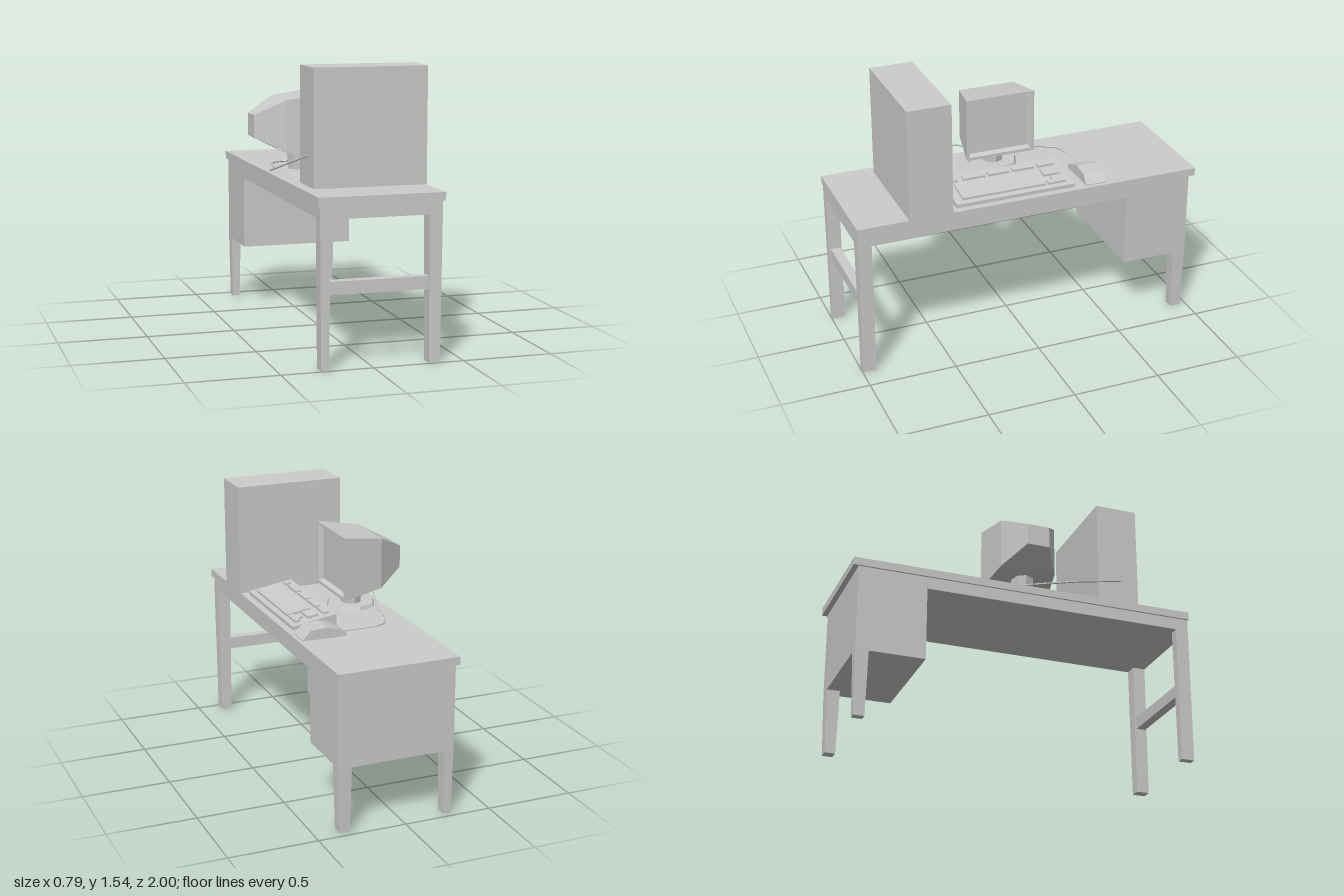
import * as THREE from 'three';

const material = new THREE.MeshStandardMaterial({ color: 0xcccccc, flatShading: true });

function add(parent, name, geometry) {
  const mesh = new THREE.Mesh(geometry, material);
  mesh.name = name;
  parent.add(mesh);
  return mesh;
}

// Box given by its limits on each axis
function box(x0, x1, y0, y1, z0, z1) {
  return new THREE.BoxGeometry(x1 - x0, y1 - y0, z1 - z0)
    .translate((x0 + x1) / 2, (y0 + y1) / 2, (z0 + z1) / 2);
}

// Side profile in x and y, extruded between two z values
function profile(points, z0, z1) {
  const shape = new THREE.Shape(points.map(([x, y]) => new THREE.Vector2(x, y)));
  return new THREE.ExtrudeGeometry(shape, { depth: z1 - z0, bevelEnabled: false }).translate(0, 0, z0);
}

// Skin over rectangular sections [x, y0, y1, z0, z1], with both ends capped
function loft(sections) {
  const rings = sections.map(([x, y0, y1, z0, z1]) => [[x, y0, z0], [x, y0, z1], [x, y1, z1], [x, y1, z0]]);
  const out = [];
  const quad = (a, b, c, d) => out.push(...a, ...b, ...c, ...a, ...c, ...d);
  for (let i = 0; i + 1 < rings.length; i++) {
    for (let j = 0; j < 4; j++) {
      const k = (j + 1) % 4;
      quad(rings[i][j], rings[i + 1][j], rings[i + 1][k], rings[i][k]);
    }
  }
  const first = rings[0], last = rings[rings.length - 1];
  quad(first[0], first[1], first[2], first[3]);
  quad(last[3], last[2], last[1], last[0]);
  const geometry = new THREE.BufferGeometry();
  geometry.setAttribute('position', new THREE.Float32BufferAttribute(out, 3));
  geometry.computeVertexNormals();
  return geometry;
}

// Leg that narrows slightly toward the floor
function leg(x0, x1, z0, z1, top, taperX, taperZ) {
  const geometry = box(x0, x1, 0, top, z0, z1);
  const p = geometry.attributes.position;
  const cx = (x0 + x1) / 2, cz = (z0 + z1) / 2;
  for (let i = 0; i < p.count; i++) {
    if (p.getY(i) > 0.01) continue;
    p.setX(i, cx + (p.getX(i) - cx) * taperX);
    p.setZ(i, cz + (p.getZ(i) - cz) * taperZ);
  }
  geometry.computeVertexNormals();
  return geometry;
}

function createDesk() {
  const desk = new THREE.Group();
  desk.name = 'desk';
  add(desk, 'deskTop', box(-0.3, 0.39, 0.86, 0.905, -1, 1));
  add(desk, 'apron', box(-0.29, 0.375, 0.79, 0.86, -0.97, 0.995));
  add(desk, 'cabinet', box(-0.29, 0.375, 0.37, 0.79, -0.97, -0.58));
  for (const [side, x0, x1] of [['right', -0.29, -0.235], ['left', 0.3, 0.375]]) {
    add(desk, side + 'FrontLeg', leg(x0, x1, 0.92, 0.995, 0.79, 0.8, 1));
    add(desk, side + 'BackLeg', leg(x0, x1, -0.97, -0.895, 0.37, 0.8, 0.8));
  }
  add(desk, 'stretcher', box(-0.24, 0.305, 0.395, 0.465, 0.93, 0.985));
  return desk;
}

function createMonitor() {
  const monitor = new THREE.Group();
  monitor.name = 'monitor';
  // Tapered housing, front frame and recessed screen in one skin
  add(monitor, 'housing', loft([
    [-0.4, 1.115, 1.24, -0.035, 0.095],
    [-0.24, 1.035, 1.325, -0.135, 0.19],
    [0, 0.995, 1.36, -0.17, 0.235],
    [0, 1.012, 1.343, -0.152, 0.217],
    [-0.03, 1.022, 1.333, -0.142, 0.207],
  ]));
  add(monitor, 'base', new THREE.CylinderGeometry(0.135, 0.145, 0.02, 8).translate(-0.125, 0.915, 0.035));
  add(monitor, 'neck', new THREE.CylinderGeometry(0.07, 0.06, 0.11, 8).translate(-0.125, 0.975, 0.035));
  return monitor;
}

function createKeyboard() {
  const keyboard = new THREE.Group();
  keyboard.name = 'keyboard';
  const front = 0.925, back = 0.967;
  add(keyboard, 'keyboardBody', profile([[0.09, 0.905], [0.35, 0.905], [0.35, front], [0.09, back]], -0.27, 0.425));
  // Key blocks [x0, x1, z0, z1] lie on the sloping top
  const blocks = [
    [0.12, 0.152, -0.23, -0.13], [0.12, 0.152, -0.11, 0.02], [0.12, 0.152, 0.04, 0.165],
    [0.12, 0.152, 0.185, 0.315], [0.12, 0.152, 0.345, 0.385],
    [0.18, 0.32, -0.11, 0.38], [0.18, 0.242, -0.225, -0.13],
    [0.29, 0.32, -0.23, -0.125], [0.26, 0.29, -0.195, -0.16],
  ];
  const surface = x => back + (front - back) * (x - 0.09) / 0.26;
  for (const [x0, x1, z0, z1] of blocks) {
    const a = surface(x0), b = surface(x1);
    add(keyboard, 'keys', profile([[x0, a - 0.005], [x1, b - 0.005], [x1, b + 0.013], [x0, a + 0.013]], z0, z1));
  }
  return keyboard;
}

function createMouse() {
  // Low at the cable end, arched in the middle and steep at the palm end
  return loft([
    [0.115, 0.905, 0.922, -0.467, -0.333],
    [0.16, 0.905, 0.948, -0.467, -0.333],
    [0.225, 0.905, 0.966, -0.465, -0.335],
    [0.32, 0.905, 0.96, -0.462, -0.335],
    [0.365, 0.905, 0.91, -0.46, -0.335],
  ]);
}

function createCable() {
  const points = [
    [0.12, 0.911, -0.4], [-0.02, 0.911, -0.4], [-0.1, 0.911, -0.395], [-0.155, 0.911, -0.365],
    [-0.2, 0.911, -0.28], [-0.22, 0.913, -0.13], [-0.35, 0.952, 0.26], [-0.235, 1.075, 0.615],
  ].map(p => new THREE.Vector3(...p));
  const curve = new THREE.CatmullRomCurve3(points, false, 'catmullrom', 0);
  return new THREE.TubeGeometry(curve, 90, 0.006, 5);
}

export function createModel() {
  const model = new THREE.Group();
  model.name = 'computerDesk';
  model.add(createDesk(), createMonitor(), createKeyboard());
  add(model, 'computerTower', box(-0.24, 0.393, 0.905, 1.54, 0.462, 0.71));
  add(model, 'mouse', createMouse());
  add(model, 'cable', createCable());
  return model;
}
